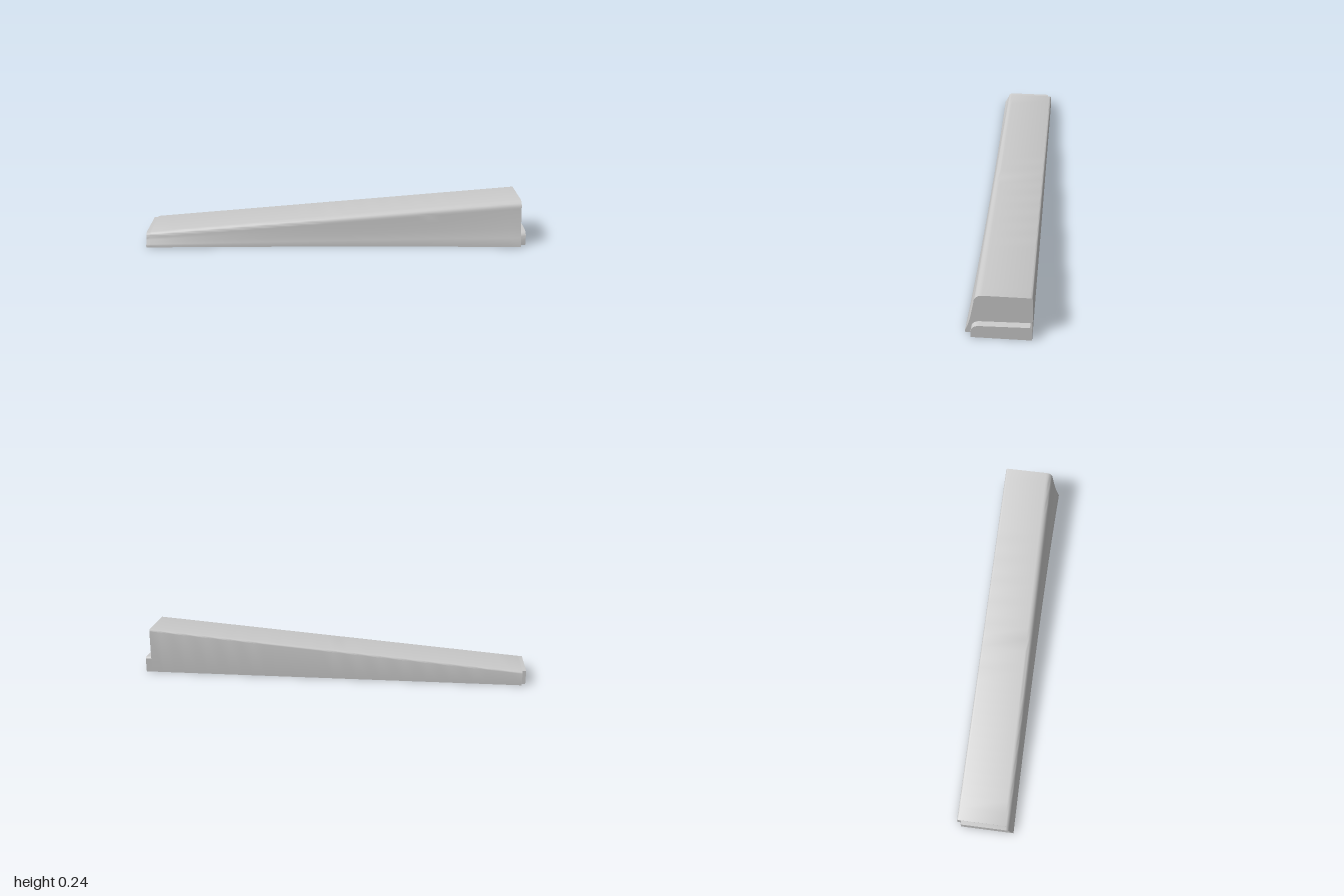
import * as THREE from 'three';
import { toCreasedNormals } from 'three/addons/utils/BufferGeometryUtils.js';

const material = new THREE.MeshStandardMaterial({ color: 0xcccccc, side: THREE.DoubleSide });
const X0 = -0.98, X1 = 0.97, WALL = 0.012, STEPS = 32;
const lerp = THREE.MathUtils.lerp;
const topHeight = (x) => lerp(0.072, 0.237, (x + 1) / 1.97);
// the front foot bows in slightly at mid length
const footZ = (x) => 0.137 + 0.008 * x * x + 0.006 * x + 0.005 * Math.max(0, x) ** 3;
const backZ = (x) => -0.153 - 0.002 * x;

// Cross-section [z, y]: front foot, sloping front, rounded shoulder, flat top, back wall
function section(x, inset = 0) {
  const t = (x + 1) / 2, h = topHeight(x) - inset;
  const foot = footZ(x) - inset, back = backZ(x) + inset;
  const shoulder = lerp(0.119, 0.109, t) - inset, r = lerp(0.028, 0.038, t);
  const pts = [[foot, 0], [foot, 0.008]];
  const sy = h - r;
  for (const [k, dip] of [[0.2, 0.005], [0.45, 0.006], [0.75, 0.003]])
    pts.push([lerp(foot, shoulder, k) - dip * t, lerp(0.008, sy, k)]);
  for (let i = 0; i <= 6; i++) {
    const a = (i / 6) * Math.PI / 2;
    pts.push([shoulder - r * (1 - Math.cos(a)), sy + r * Math.sin(a)]);
  }
  const b = 0.011;
  for (let i = 0; i <= 3; i++) {
    const a = (i / 3) * Math.PI / 2;
    pts.push([back + b * (1 - Math.sin(a)), h - b * (1 - Math.cos(a))]);
  }
  pts.push([back, 0]);
  return pts;
}

// Skin between rows of 3D points
function skin(rows, flip = false) {
  const n = rows[0].length, index = [];
  for (let i = 0; i < rows.length - 1; i++)
    for (let j = 0; j < n - 1; j++) {
      const a = i * n + j, b = a + n, c = a + 1, d = b + 1;
      index.push(...(flip ? [a, c, b, b, c, d] : [a, b, c, b, d, c]));
    }
  const g = new THREE.BufferGeometry();
  g.setAttribute('position', new THREE.Float32BufferAttribute(rows.flat(2), 3));
  g.setIndex(index);
  return toCreasedNormals(g, 0.6);
}

// Lofted hood, its end walls dropped straight to the ground
function hoodRows(xa, xb, inset) {
  const rows = [];
  for (let i = 0; i <= STEPS; i++) {
    const x = lerp(xa, xb, i / STEPS);
    rows.push(section(x, inset).map(([z, y]) => [x, y, z]));
  }
  const drop = (row) => row.map(([x, , z]) => [x, 0, z]);
  return [drop(rows[0]), ...rows, drop(rows[STEPS])];
}

// Solid slab with a [z, y] outline, reaching from x towards -x
function slab(points, x, depth) {
  const shape = new THREE.Shape(points.map(([z, y]) => new THREE.Vector2(z, y)));
  const g = new THREE.ExtrudeGeometry(shape, { depth, bevelEnabled: false });
  g.rotateY(-Math.PI / 2).translate(x, 0, 0);
  return toCreasedNormals(g, 0.6);
}

export function createModel() {
  const group = new THREE.Group();
  const add = (name, geometry) => {
    const mesh = new THREE.Mesh(geometry, material);
    mesh.name = name;
    group.add(mesh);
  };
  const xa = X0 + WALL, xb = X1 - WALL;

  // Hollow tapered cover
  add('outerShell', skin(hoodRows(X0, X1, 0)));
  add('innerShell', skin(hoodRows(xa, xb, WALL), true));

  // Narrow rim around the open underside
  const front = [], back = [];
  for (let i = 0; i <= STEPS; i++) {
    const xo = lerp(X0, X1, i / STEPS), xi = lerp(xa, xb, i / STEPS);
    front.push([[xi, 0, footZ(xi) - WALL], [xo, 0, footZ(xo)]]);
    back.push([[xo, 0, backZ(xo)], [xi, 0, backZ(xi) + WALL]]);
  }
  add('frontRim', skin(front));
  add('backRim', skin(back));
  const endRim = (i) => [front[i], [back[i][1], back[i][0]]];
  add('rightRim', skin(endRim(0)));
  add('leftRim', skin(endRim(STEPS), true));

  // Low joining tab on the tall end
  const tab = [[-0.155, 0], [0.125, 0], [0.125, 0.035]];
  for (let i = 0; i <= 6; i++) {
    const a = (i / 6) * Math.PI / 2;
    tab.push([0.085 + 0.038 * Math.cos(a), 0.042 + 0.033 * Math.sin(a)]);
  }
  tab.push([-0.145, 0.081], [-0.155, 0.074]);
  add('endTab', slab(tab, 1, 0.03));

  // Short lip on the low end, set in from the back
  const lip = section(-1).map(([z, y]) => [Math.max(z, -0.13), y]);
  lip.splice(-4, 3);
  add('endLip', slab(lip.reverse(), X0, 0.02));

  return group;
}
